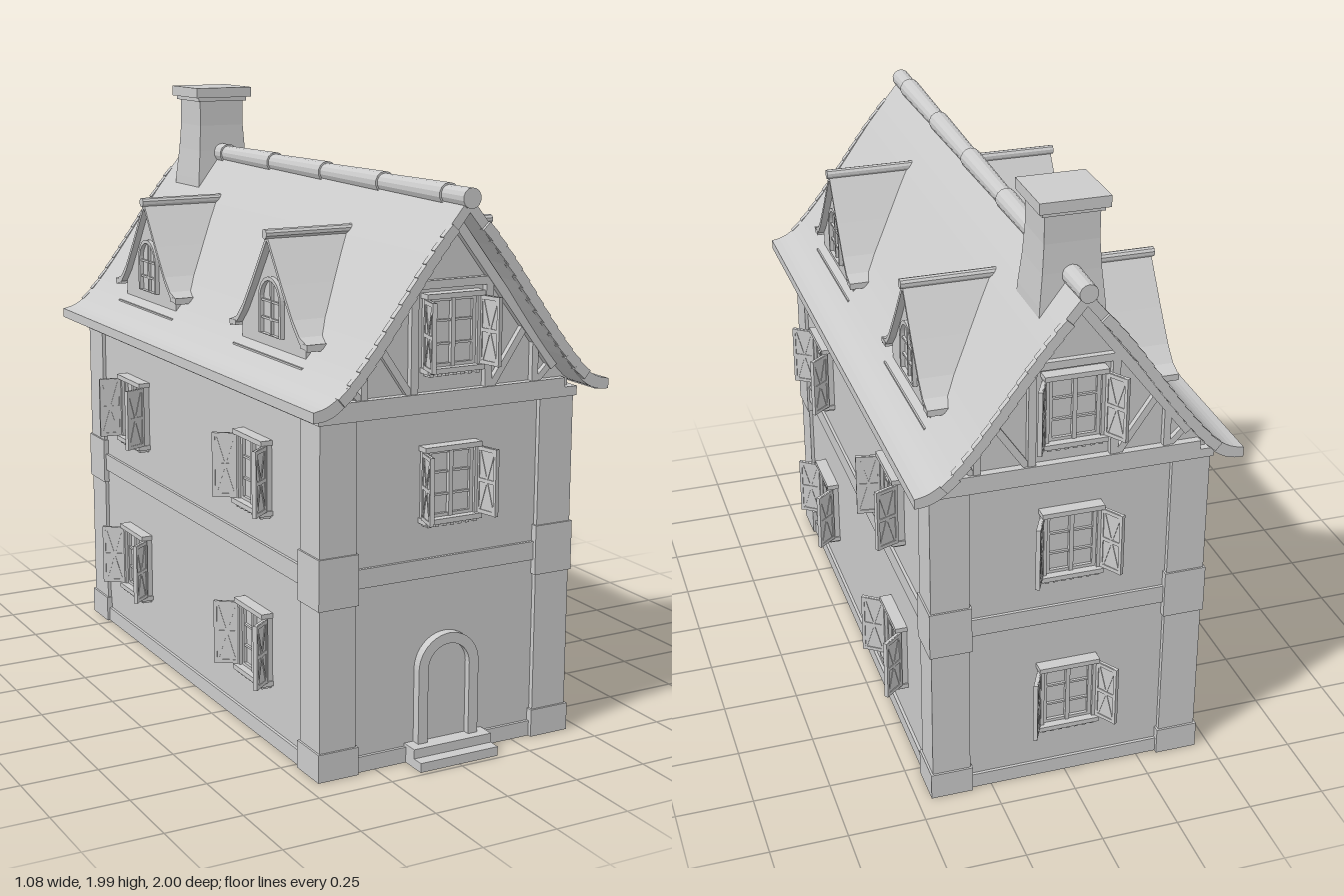
import * as THREE from 'three';

const mat = new THREE.MeshStandardMaterial({ color: 0xcccccc, flatShading: true, side: THREE.DoubleSide });
const V = (x, y) => new THREE.Vector2(x, y);

function add(parent, name, geo, x = 0, y = 0, z = 0) {
  const m = new THREE.Mesh(geo, mat);
  m.name = name;
  m.position.set(x, y, z);
  parent.add(m);
  return m;
}
const box = (parent, name, w, h, d, x, y, z) => add(parent, name, new THREE.BoxGeometry(w, h, d), x, y, z);
function group(parent, name, x = 0, y = 0, z = 0, ry = 0) {
  const g = new THREE.Group();
  g.name = name;
  g.position.set(x, y, z);
  g.rotation.y = ry;
  parent.add(g);
  return g;
}
const extrude = (shape, depth) =>
  new THREE.ExtrudeGeometry(shape, { depth, bevelEnabled: false, curveSegments: 10 });

// Flat beam in the xy plane from one point to another
function beam(parent, name, x1, y1, x2, y2, w, d, z) {
  const b = box(parent, name, Math.hypot(x2 - x1, y2 - y1), w, d, (x1 + x2) / 2, (y1 + y2) / 2, z);
  b.rotation.z = Math.atan2(y2 - y1, x2 - x1);
  return b;
}

// Half profiles, ridge to eaves
const roofOuter = new THREE.SplineCurve([V(0, 1.755), V(0.13, 1.595), V(0.24, 1.44), V(0.34, 1.305),
  V(0.42, 1.215), V(0.47, 1.18), V(0.515, 1.168)]).getPoints(18);
const roofInner = roofOuter.map((p) => V(p.x, p.y - 0.032 - 0.016 * Math.min(1, (0.515 - p.x) / 0.1)));
const mirror = (half) => [...half.slice(1).reverse().map((p) => V(-p.x, p.y)), ...half];
const bandShape = (outer, inner) => new THREE.Shape([...mirror(outer), ...mirror(inner).reverse()]);

// Distance of the main roof surface from the centre at height y
function roofX(y) {
  for (let i = 1; i < roofOuter.length; i++) {
    const a = roofOuter[i - 1], b = roofOuter[i];
    if (y >= b.y) return Math.max(0, a.x + ((a.y - y) / (a.y - b.y)) * (b.x - a.x));
  }
  return 0.5;
}

function archShape(r, bottom, spring) {
  const s = new THREE.Shape();
  s.moveTo(-r, bottom).lineTo(r, bottom).lineTo(r, spring);
  s.absarc(0, spring, r, 0, Math.PI, false);
  s.lineTo(-r, bottom);
  return s;
}
function archFrame(r, t, bottom, spring, depth) {
  const s = archShape(r, bottom, spring);
  s.holes.push(archShape(r - t, bottom + 0.002, spring));
  return extrude(s, depth);
}

// Casement window facing +z, with two open shutters
function makeWindow(parent, name, x, y, z, ry, openLeft, openRight) {
  const g = group(parent, name, x, y, z, ry);
  box(g, 'pane', 0.16, 0.21, 0.01, 0, 0, 0.005);
  for (const s of [-1, 1]) {
    box(g, 'jamb', 0.014, 0.22, 0.03, s * 0.088, 0, 0.015);
    box(g, 'sash', 0.012, 0.21, 0.02, s * 0.075, 0, 0.01);
    for (const h of [-0.035, 0.035]) box(g, 'glazingBar', 0.075, 0.007, 0.018, s * 0.04, h, 0.009);
    for (const h of [-0.1, 0.1]) box(g, 'rail', 0.08, 0.012, 0.02, s * 0.04, h, 0.01);
  }
  box(g, 'mullion', 0.014, 0.21, 0.024, 0, 0, 0.012);
  box(g, 'lintel', 0.2, 0.016, 0.04, 0, 0.112, 0.02);
  box(g, 'sill', 0.2, 0.016, 0.045, 0, -0.112, 0.022);
  for (let i = 0; i < 7; i++) box(g, 'sillTooth', 0.013, 0.012, 0.035, (i - 3) * 0.027, -0.124, 0.018);
  [[-1, Math.PI + openLeft], [1, -openRight]].forEach(([s, angle]) => {
    const sh = group(g, 'shutter', s * 0.097, 0, 0.025, angle);
    box(sh, 'shutterBoard', 0.08, 0.21, 0.008, 0.04, 0, 0);
    for (const h of [-0.098, 0, 0.098]) box(sh, 'shutterRail', 0.08, 0.012, 0.014, 0.04, h, 0);
    for (const e of [0.005, 0.075]) box(sh, 'shutterStile', 0.01, 0.21, 0.014, e, 0, 0);
    beam(sh, 'shutterBrace', 0.01, -0.098, 0.07, 0.098, 0.007, 0.012, 0);
    beam(sh, 'shutterBrace', 0.01, 0.098, 0.07, -0.098, 0.007, 0.012, 0);
  });
}

// Gable dormer facing local +z; its rear is cut to the slope of the main roof
function makeDormer(parent, x, z) {
  const g = group(parent, 'dormer', 0, 0, z, x * Math.PI / 2);
  const fit = (geo, front) => {
    const p = geo.attributes.position;
    for (let i = 0; i < p.count; i++) {
      const back = Math.min(front - 0.01, roofX(p.getY(i)) - 0.015);
      p.setZ(i, p.getZ(i) > 0.5 ? front : back);
    }
    geo.computeVertexNormals();
    return geo;
  };
  const outer = [V(0, 1.61), V(0.1, 1.465), V(0.17, 1.37), V(0.215, 1.325), V(0.262, 1.308)];
  const inner = outer.map((p) => V(p.x, p.y - 0.02));
  add(g, 'dormerRoof', fit(extrude(bandShape(outer, inner), 1), 0.402));
  const wall = new THREE.Shape([V(-0.215, 1.2), V(0.215, 1.2), V(0.215, 1.315), V(0.17, 1.36),
    V(0, 1.6), V(-0.17, 1.36), V(-0.215, 1.315)]);
  add(g, 'dormerWall', fit(extrude(wall, 1), 0.38));
  const ridge = add(g, 'dormerRidge', new THREE.CylinderGeometry(0.016, 0.016, 0.32, 10), 0, 1.61, 0.25);
  ridge.rotation.x = Math.PI / 2;
  box(g, 'dormerSill', 0.47, 0.02, 0.04, 0, 1.226, 0.385);
  for (const s of [-1, 1]) box(g, 'dormerEave', 0.045, 0.016, 0.07, s * 0.242, 1.302, 0.368);
  add(g, 'dormerWindowFrame', archFrame(0.075, 0.012, 1.295, 1.403, 0.016), 0, 0, 0.378);
  box(g, 'dormerMullion', 0.01, 0.17, 0.012, 0, 1.383, 0.383);
  for (const y of [1.345, 1.4]) box(g, 'dormerBar', 0.13, 0.007, 0.01, 0, y, 0.383);
}

// Timber framing, mouldings and verge tiles of one gable end
function makeGable(parent, ry) {
  const g = group(parent, 'gable', 0, 0, 0, ry);
  const z = 0.89;
  box(g, 'gableSill', 0.82, 0.03, 0.04, 0, 1.15, z);
  box(g, 'collarBeam', 0.3, 0.025, 0.03, 0, 1.49, z);
  for (const s of [-1, 1]) {
    beam(g, 'post', s * 0.13, 1.16, s * 0.13, 1.5, 0.025, 0.03, z);
    beam(g, 'shortPost', s * 0.3, 1.16, s * 0.3, 1.31, 0.022, 0.03, z);
    beam(g, 'brace', s * 0.14, 1.16, s * 0.27, 1.35, 0.022, 0.026, z);
    beam(g, 'rafter', 0, 1.685, s * 0.37, 1.205, 0.03, 0.034, z);
    beam(g, 'footBrace', s * 0.31, 1.165, s * 0.355, 1.21, 0.02, 0.024, z);
    for (let i = 0; i < 13; i++) {
      const y = 1.69 - i * 0.037, x = roofX(y), x2 = roofX(y - 0.037);
      const t = beam(g, 'vergeTile', s * x, y - 0.022, s * x2, y - 0.059, 0.032, 0.02, 0.99);
      t.rotation.z += s * 0.08;
    }
  }
}

export function createModel() {
  const house = new THREE.Group();
  house.name = 'house';

  // Walls up to the underside of the roof
  const gableLine = mirror(roofInner.filter((p) => p.x < 0.4).map((p) => V(p.x, p.y + 0.01)));
  const wall = new THREE.Shape([V(-0.435, 0), V(-0.435, 1.16), ...gableLine, V(0.435, 1.16), V(0.435, 0)]);
  add(house, 'walls', extrude(wall, 1.77), 0, 0, -0.885);
  box(house, 'plinth', 0.89, 0.05, 1.79, 0, 0.025, 0);
  box(house, 'floorBand', 0.89, 0.06, 1.79, 0, 0.617, 0);
  box(house, 'cornice', 0.91, 0.03, 1.82, 0, 1.12, 0);

  // Corner pilasters
  for (const sx of [-1, 1]) for (const sz of [-1, 1]) {
    const c = group(house, 'cornerPilaster', sx * 0.385, 0, sz * 0.84);
    box(c, 'shaft', 0.124, 1.11, 0.124, 0, 0.555, 0);
    box(c, 'baseBlock', 0.138, 0.09, 0.138, 0, 0.045, 0);
    box(c, 'middleBlock', 0.136, 0.16, 0.136, 0, 0.62, 0);
  }

  // Main roof, eaves and ridge tiles
  add(house, 'roof', extrude(bandShape(roofOuter, roofInner), 1.98), 0, 0, -0.99);
  for (const s of [-1, 1]) box(house, 'eavesBoard', 0.04, 0.03, 1.97, s * 0.49, 1.153, 0);
  const n = 16;
  for (let i = 0; i < n; i++) {
    const r = 0.031 + 0.004 * ((i * 7) % 3) / 2;
    const t = add(house, 'ridgeTile', new THREE.CylinderGeometry(r, r - 0.002, 2 / n, 14), 0, 1.75, -1 + (i + 0.5) * 2 / n);
    t.rotation.x = Math.PI / 2;
  }
  makeGable(house, 0);
  makeGable(house, Math.PI);
  for (const s of [-1, 1]) for (const z of [-0.475, 0.475]) makeDormer(house, s, z);

  // Chimney, a square stack flaring towards its foot
  const chimney = group(house, 'chimney', 0, 0, -0.768);
  const stack = new THREE.LatheGeometry([V(0.148, 1.6), V(0.142, 1.66), V(0.128, 1.76), V(0.12, 1.85), V(0.12, 1.95)], 4);
  add(chimney, 'chimneyStack', stack.toNonIndexed()).rotation.y = Math.PI / 4;
  box(chimney, 'chimneyCap', 0.216, 0.035, 0.216, 0, 1.968, 0);
  box(chimney, 'chimneyNeck', 0.19, 0.014, 0.19, 0, 1.944, 0);

  // Door with arched surround and steps
  const door = group(house, 'door', 0, 0, 0.88);
  add(door, 'doorSurround', archFrame(0.108, 0.034, 0.03, 0.297, 0.035));
  add(door, 'doorLeaf', extrude(archShape(0.076, 0.03, 0.297), 0.012));
  box(door, 'upperStep', 0.28, 0.03, 0.07, 0, 0.045, 0.03);
  box(door, 'lowerStep', 0.28, 0.03, 0.11, 0, 0.015, 0.05);

  // Windows: front, back, then both sides
  makeWindow(house, 'frontWindow', 0, 0.882, 0.885, 0, 1.35, 1.35);
  makeWindow(house, 'gableWindow', 0, 1.345, 0.885, 0, 1.35, 1.35);
  for (const y of [0.315, 0.882, 1.345]) makeWindow(house, 'backWindow', 0, y, -0.885, Math.PI, 1.1, 1.0);
  for (const s of [-1, 1]) for (const z of [-0.475, 0.475]) for (const y of [0.315, 0.87]) {
    const narrow = y > 0.5 && z < 0;
    makeWindow(house, 'sideWindow', s * 0.435, y, z, s * Math.PI / 2, narrow ? 1.4 : 0.95, narrow ? 1.2 : 0.9);
  }
  return house;
}
